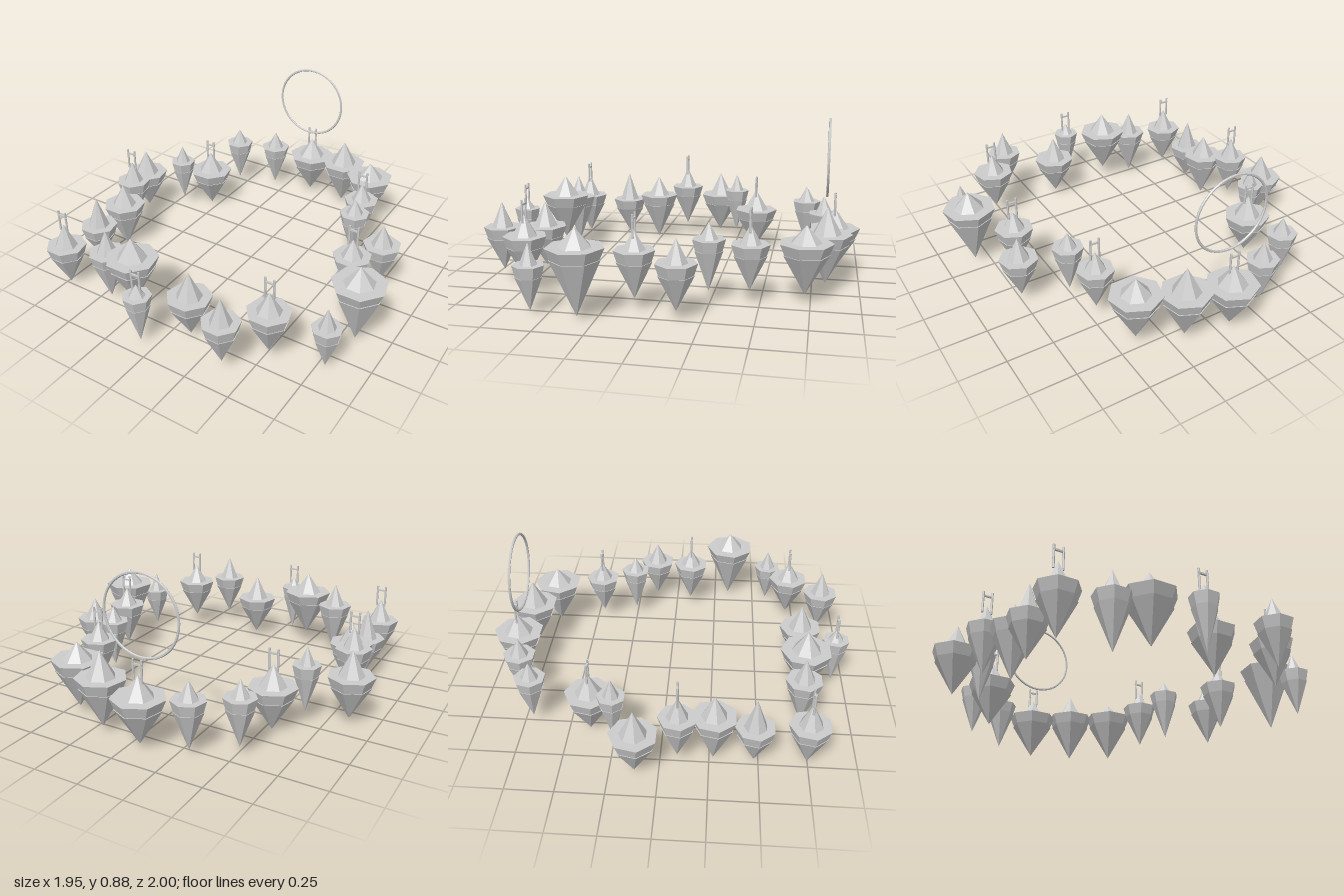
import * as THREE from 'three';

const SIDES = 7;
const mat = new THREE.MeshStandardMaterial({ color: 0xcccccc, flatShading: true });

// x, z, radius, peak y, rim y, tip y, going clockwise from the back
const ISLANDS = [
  [-0.07, -0.86, 0.14, 0.39, 0.28, 0.03],
  [0.18, -0.82, 0.135, 0.45, 0.31, 0.04],
  [0.405, -0.72, 0.14, 0.41, 0.32, 0.05],
  [0.475, -0.45, 0.1, 0.42, 0.32, 0.08],
  [0.525, -0.25, 0.085, 0.435, 0.35, 0.08],
  [0.75, -0.13, 0.105, 0.41, 0.29, 0.05],
  [0.675, 0.09, 0.105, 0.42, 0.32, 0.07],
  [0.83, 0.335, 0.145, 0.46, 0.365, 0.02],
  [0.79, 0.585, 0.08, 0.36, 0.25, 0.015],
  [0.54, 0.7, 0.115, 0.43, 0.32, 0.08],
  [0.39, 0.885, 0.1, 0.455, 0.32, 0.08],
  [0.11, 0.75, 0.12, 0.4, 0.26, 0.025],
  [-0.07, 0.93, 0.075, 0.375, 0.31, 0.03],
  [-0.245, 0.75, 0.14, 0.475, 0.36, 0.09],
  [-0.435, 0.73, 0.1, 0.44, 0.31, 0.025],
  [-0.72, 0.745, 0.11, 0.39, 0.26, 0.015],
  [-0.73, 0.475, 0.105, 0.41, 0.24, 0.02],
  [-0.71, 0.27, 0.12, 0.4, 0.28, 0],
  [-0.785, 0.09, 0.1, 0.45, 0.33, 0.08],
  [-0.855, -0.12, 0.125, 0.41, 0.27, 0.03],
  [-0.665, -0.25, 0.075, 0.44, 0.34, 0.08],
  [-0.545, -0.385, 0.13, 0.37, 0.25, 0.01],
  [-0.525, -0.695, 0.085, 0.41, 0.32, 0.06],
  [-0.31, -0.8, 0.09, 0.4, 0.3, 0.035],
];

function add(parent, name, geometry, x = 0, y = 0, z = 0) {
  const mesh = new THREE.Mesh(geometry, mat);
  mesh.name = name;
  mesh.position.set(x, y, z);
  parent.add(mesh);
  return mesh;
}

// Faceted drum between two heights, with a corner pointing to the back
function frustum(parent, name, rTop, rBottom, yTop, yBottom) {
  const g = new THREE.CylinderGeometry(rTop, rBottom, yTop - yBottom, SIDES);
  add(parent, name, g, 0, (yTop + yBottom) / 2).rotation.y = Math.PI;
}

// Two posts joined by a crossbar just under their tops
function makeGate(top) {
  const gate = new THREE.Group();
  gate.name = 'gate';
  const height = 0.12;
  for (const side of [-1, 1]) {
    add(gate, 'gatePost', new THREE.CylinderGeometry(0.006, 0.006, height, 6), side * 0.024, top - height / 2);
  }
  add(gate, 'gateCrossbar', new THREE.BoxGeometry(0.058, 0.009, 0.009), 0, top - 0.025);
  return gate;
}

function makeIsland([x, z, r, peak, rim, tip], index) {
  const island = new THREE.Group();
  island.name = 'floatingIsland';
  island.position.set(x, 0, z);
  const rimBottom = rim - 0.06;
  frustum(island, 'peak', 0, r * 0.57, peak, rim);
  frustum(island, 'plateau', r, r * 0.82, rim, rimBottom);
  frustum(island, 'hangingRock', r * 0.86, 0, rimBottom, tip);
  // Every third island carries a gate
  if (index % 3 === 0) island.add(makeGate(peak + 0.08));
  return island;
}

export function createModel() {
  const model = new THREE.Group();
  model.name = 'islandRing';
  ISLANDS.forEach((spec, i) => model.add(makeIsland(spec, i)));

  // Upright portal hoop at the back
  add(model, 'portalRing', new THREE.TorusGeometry(0.208, 0.007, 6, 48), -0.067, 0.67, -0.815);
  return model;
}
